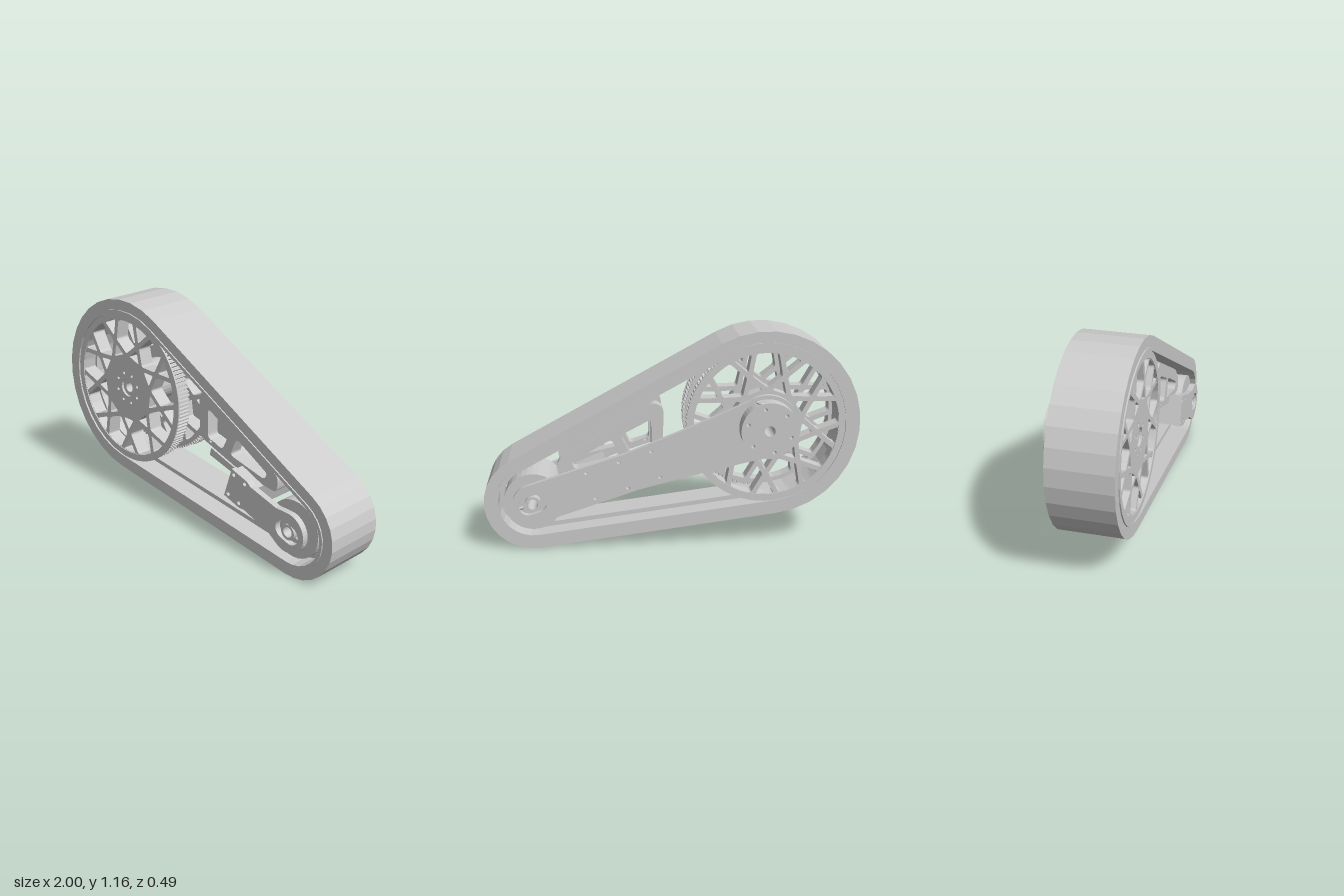
import * as THREE from 'three';

const A = new THREE.Vector2(-0.5, 0.665); // drive wheel centre
const B = new THREE.Vector2(0.74, 0.26); // idler centre
const D = A.distanceTo(B);
const TILT = Math.atan2(B.y - A.y, B.x - A.x);
const mat = new THREE.MeshStandardMaterial({ color: 0xcccccc });

const polar = (r, a, cx = 0, cy = 0) => new THREE.Vector2(cx + r * Math.cos(a), cy + r * Math.sin(a));

function arc(cx, cy, r, a0, a1, n) {
  return Array.from({ length: n + 1 }, (_, i) => polar(r, a0 + (a1 - a0) * i / n, cx, cy));
}
const circle = (x, y, r, n = 20) => arc(x, y, r, 0, Math.PI * 2, n).slice(0, -1);
const pts = (list) => list.map(([x, y]) => new THREE.Vector2(x, y));

// Extrudes an outline with holes between two depths
function plate(parent, name, outline, holes, z0, z1) {
  const shape = new THREE.Shape(outline);
  shape.holes = holes.map((h) => new THREE.Path(h));
  const geo = new THREE.ExtrudeGeometry(shape, { depth: z1 - z0, bevelEnabled: false });
  geo.translate(0, 0, z0);
  const mesh = new THREE.Mesh(geo, mat);
  mesh.name = name;
  parent.add(mesh);
}

// Loop wrapped round the two pulleys, shrunk by an inset
function beltLoop(inset) {
  const rA = 0.501 - inset, rB = 0.26 - inset;
  const t = Math.acos((rA - rB) / D);
  return [
    ...arc(A.x, A.y, rA, TILT + t, TILT + Math.PI * 2 - t, 18),
    ...arc(B.x, B.y, rB, TILT - t, TILT + t, 12),
  ];
}

// Moves every edge of a convex counter-clockwise polygon inwards
function insetPolygon(poly, d) {
  const n = poly.length;
  return poly.map((p, i) => {
    const e0 = p.clone().sub(poly[(i + n - 1) % n]).normalize();
    const e1 = poly[(i + 1) % n].clone().sub(p).normalize();
    const m = new THREE.Vector2(-e0.y - e1.y, e0.x + e1.x).normalize();
    return p.clone().addScaledVector(m, d / (m.x * -e1.y + m.y * e1.x));
  });
}

// Rounds the corners of a polygon
function rounded(poly, r) {
  const out = [], n = poly.length;
  poly.forEach((p, i) => {
    const a = poly[(i + n - 1) % n], b = poly[(i + 1) % n];
    const s = p.clone().lerp(a, Math.min(0.4, r / p.distanceTo(a)));
    const e = p.clone().lerp(b, Math.min(0.4, r / p.distanceTo(b)));
    out.push(...new THREE.QuadraticBezierCurve(s, p, e).getPoints(4));
  });
  return out;
}

// Toothed wheel with crossing spokes and a thin flange on its outer face
function driveWheel(parent, name, bodyZ, flangeZ) {
  const wheel = new THREE.Group();
  wheel.name = name;
  wheel.position.set(A.x, A.y, 0);
  parent.add(wheel);

  const rim = [], teeth = 120, step = Math.PI * 2 / teeth;
  for (let i = 0; i < teeth; i++) {
    [[0.412, 0], [0.423, 0.15], [0.423, 0.5], [0.412, 0.65]].forEach(([r, f]) => rim.push(polar(r, (i + f) * step)));
  }
  const holes = [circle(0, 0, 0.05)];
  const n = 9, sector = Math.PI * 2 / n, rad = Math.PI / 180;
  const hubR = 0.185, rimR = 0.4, crossR = 0.275;
  for (let k = 0; k < n; k++) {
    const a = Math.PI / 2 + k * sector, h = sector / 2;
    const cells = [
      [polar(hubR, a), polar(crossR, a - h), polar(rimR, a - 10 * rad), polar(rimR, a), polar(rimR, a + 10 * rad), polar(crossR, a + h)],
      [polar(crossR, a + h), polar(rimR, a + 10 * rad), polar(rimR, a + h), polar(rimR, a + 30 * rad)],
      [polar(hubR, a), polar(crossR, a + h), polar(hubR, a + sector)],
    ];
    cells.forEach((c) => holes.push(rounded(insetPolygon(c, 0.0125), 0.012)));
  }
  for (let i = 0; i < 8; i++) {
    const p = polar(0.086, (i + 0.4) * Math.PI / 4);
    holes.push(circle(p.x, p.y, 0.009, 10));
  }
  plate(wheel, 'toothedBody', rim, holes, ...bodyZ);
  plate(wheel, 'rimFlange', circle(0, 0, 0.426, 72), [circle(0, 0, 0.388, 72)], ...flangeZ);
}

export function createModel() {
  const model = new THREE.Group();
  model.name = 'trackUnit';

  // Track: outer tread, lipped carcass and central guide ridge
  plate(model, 'trackTread', beltLoop(0), [beltLoop(0.06)], -0.125, 0.21);
  plate(model, 'trackLip', beltLoop(0.058), [beltLoop(0.076)], -0.13, 0.217);
  plate(model, 'trackGuide', beltLoop(0.074), [beltLoop(0.1)], -0.02, 0.105);

  // Twin drive wheels and their hollow axle
  driveWheel(model, 'frontDriveWheel', [0.125, 0.203], [0.2, 0.208]);
  driveWheel(model, 'rearDriveWheel', [-0.118, -0.04], [-0.123, -0.115]);
  plate(model, 'driveAxle', circle(A.x, A.y, 0.051, 32), [circle(A.x, A.y, 0.028)], -0.16, 0.19);
  plate(model, 'wheelSpacer', circle(A.x, A.y, 0.12, 32), [circle(A.x, A.y, 0.045)], -0.04, 0.125);

  // Idler drum and hollow axle
  plate(model, 'idlerDrum', circle(B.x, B.y, 0.155, 32), [circle(B.x, B.y, 0.03)], -0.11, 0.19);
  plate(model, 'idlerAxle', circle(B.x, B.y, 0.042, 24), [circle(B.x, B.y, 0.028)], -0.152, 0.238);

  // Arm assembly, laid out along the line between the pulleys
  const arm = new THREE.Group();
  arm.name = 'armAssembly';
  arm.position.set(A.x, A.y, 0);
  arm.rotation.z = TILT;
  model.add(arm);

  const half = Math.PI / 2;
  const slot = () => [
    ...arc(D + 0.025, 0, 0.05, -half, half, 10),
    ...arc(D - 0.025, 0, 0.05, half, 3 * half, 10),
  ];
  const rearHoles = [circle(0, 0, 0.028), slot()];
  for (const u of [0.62, 0.8, 0.98]) for (const v of [-0.075, 0.075]) rearHoles.push(circle(u, v, 0.011, 10));
  plate(arm, 'rearArm', [
    ...arc(0, 0, 0.17, 1.3, Math.PI * 2 - 1.3, 30),
    ...pts([[0.2, -0.147], [0.44, -0.126], [0.75, -0.105]]),
    ...arc(D, 0, 0.108, -half, half, 20),
    ...pts([[0.75, 0.105], [0.44, 0.126], [0.2, 0.147]]),
  ], rearHoles, -0.16, -0.13);

  const frontHoles = [slot()];
  for (const u of [0.9, 0.98]) for (const v of [-0.063, 0.063]) frontHoles.push(circle(u, v, 0.011, 10));
  plate(arm, 'frontArm', [
    ...pts([[0.877, 0.087], [0.877, -0.087], [0.99, -0.087], [1.02, -0.075], [1.2, -0.08]]),
    ...arc(D, 0, 0.108, -1.9, 1.9, 22),
    ...pts([[1.2, 0.08], [1.02, 0.075], [0.99, 0.087]]),
  ], frontHoles, 0.212, 0.245);

  // Spacer block and lower rail joining the two arms
  plate(arm, 'armSpacer', pts([[0.882, -0.082], [1.04, -0.07], [1.04, 0.07], [0.882, 0.082]]), [], -0.13, 0.212);
  plate(arm, 'lowerRail', pts([[0.58, -0.105], [1.03, -0.085], [1.03, -0.06], [0.577, -0.06]]), [], -0.13, 0.07);

  // Windowed brackets under the upper track run
  const bracket = rounded(pts([[0.05, 0.535], [0.36, 0.43], [0.6, 0.4], [0.61, 0.485], [0.09, 0.8], [0.045, 0.77]]), 0.03);
  const windows = [
    [[0.11, 0.545], [0.217, 0.513], [0.272, 0.625], [0.11, 0.71]],
    [[0.275, 0.5], [0.515, 0.445], [0.535, 0.482], [0.318, 0.605]],
  ].map((w) => rounded(pts(w), 0.022));
  windows.push(circle(0.13, 0.533, 0.01, 10));
  plate(model, 'frontBracket', bracket, windows, 0.1, 0.17);
  plate(model, 'rearBracket', bracket, windows, -0.13, -0.06);

  // Round hub housing behind the drive wheels, with a side port
  const hubHoles = [circle(A.x, A.y, 0.028)];
  for (let i = 0; i < 6; i++) {
    const p = polar(0.118, i * Math.PI / 3 + 0.3, A.x, A.y);
    hubHoles.push(circle(p.x, p.y, 0.01, 10));
  }
  plate(model, 'hubHousing', circle(A.x, A.y, 0.15, 48), hubHoles, -0.245, -0.158);
  const port = new THREE.Mesh(new THREE.TorusGeometry(0.026, 0.005, 8, 20), mat);
  port.name = 'hubPort';
  port.rotation.x = half;
  port.position.set(A.x + 0.04, A.y + 0.143, -0.203);
  model.add(port);

  // Tension screws in the arm ends
  for (const z of [-0.145, 0.228]) {
    const screw = new THREE.Mesh(new THREE.CylinderGeometry(0.009, 0.009, 0.058, 12), mat);
    screw.name = 'tensionScrew';
    screw.rotation.z = half;
    screw.position.set(D + 0.081, 0, z);
    arm.add(screw);
  }
  return model;
}
